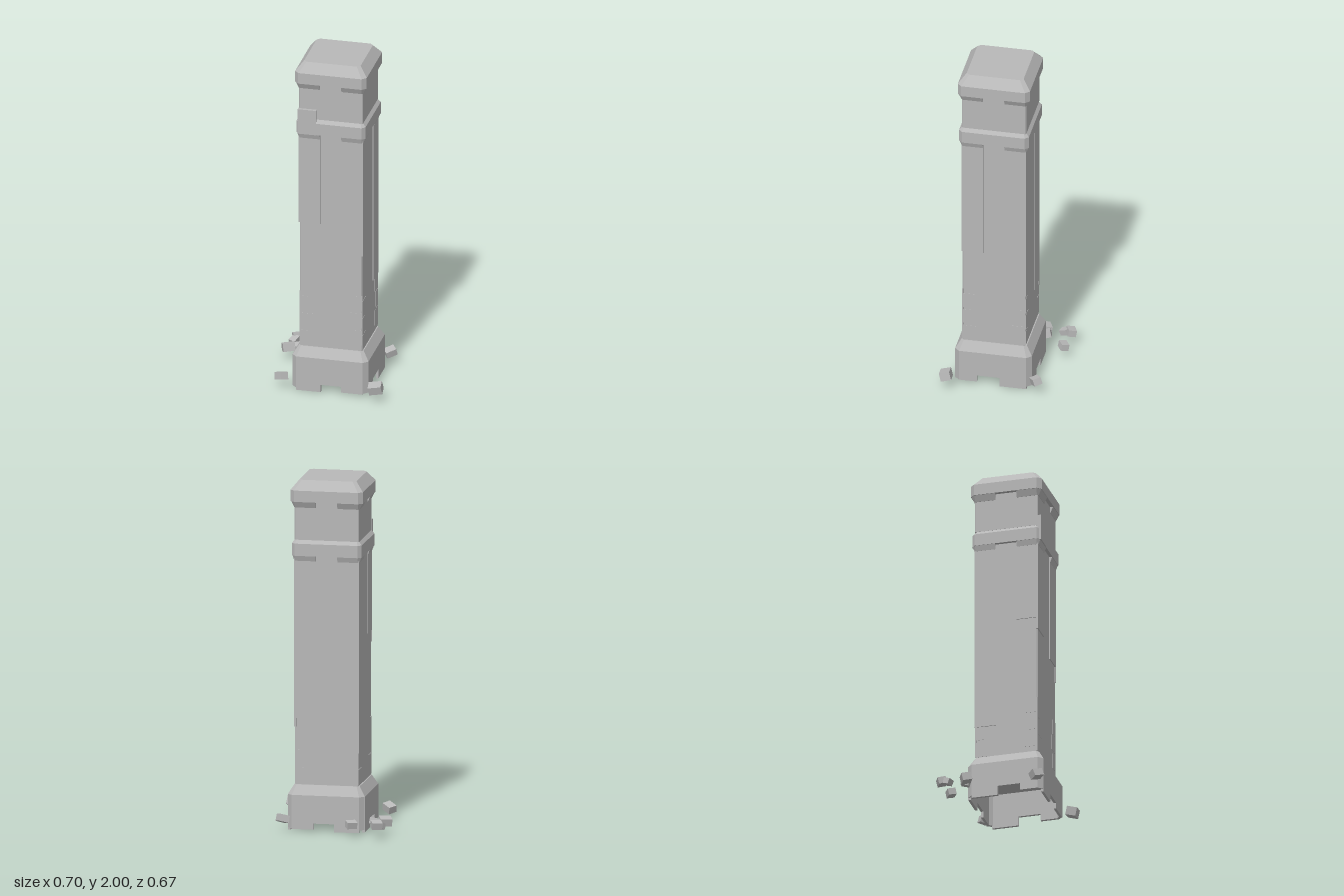
import * as THREE from 'three';

const stone = new THREE.MeshStandardMaterial({ color: 0xb8b8b8, flatShading: true });
stone.name = 'grey stone';

function add(parent, geometry, name, x = 0, y = 0, z = 0) {
  const mesh = new THREE.Mesh(geometry, stone);
  mesh.name = name;
  mesh.position.set(x, y, z);
  parent.add(mesh);
  return mesh;
}

// Closed solid through stacked convex outlines: each layer is [y, [[x, z], ...]]
function loft(layers) {
  const n = layers[0][1].length, pos = [], idx = [];
  for (const [y, pts] of layers) for (const [u, v] of pts) pos.push(u, y, -v);
  for (let k = 0; k < layers.length - 1; k++) {
    for (let i = 0; i < n; i++) {
      const a = k * n + i, b = k * n + (i + 1) % n;
      idx.push(a, b, b + n, a, b + n, a + n);
    }
  }
  const top = (layers.length - 1) * n;
  for (let i = 1; i < n - 1; i++) idx.push(0, i + 1, i, top, top + i, top + i + 1);
  const g = new THREE.BufferGeometry();
  g.setAttribute('position', new THREE.Float32BufferAttribute(pos, 3));
  g.setIndex(idx);
  const flat = g.toNonIndexed();
  flat.computeVertexNormals();
  return flat;
}

// Square outline with cut corners
function cutSquare(h, c) {
  return [[h, -h + c], [h, h - c], [h - c, h], [-h + c, h],
    [-h, h - c], [-h, -h + c], [-h + c, -h], [h - c, -h]];
}
const block = (...rows) => loft(rows.map(([y, h, c]) => [y, cutSquare(h, c)]));

// Corner bracket outline, its inner side buried in the shaft
const cornerOutline = (h, c) => [[0.062, 0.062], [h, 0.062], [h, h - c], [h - c, h], [0.062, h]];

export function createModel() {
  const model = new THREE.Group();
  model.name = 'stonePillar';
  const pillar = new THREE.Group();
  pillar.name = 'pillar';
  pillar.position.set(0.032, 0, 0.04);
  model.add(pillar);

  // Main stacked blocks
  add(pillar, block([0.205, 0.22, 0.027], [0.26, 0.187, 0.015]), 'plinthSlope');
  add(pillar, block([0.25, 0.181, 0.006], [1.89, 0.181, 0.006]), 'shaft');
  add(pillar, block([1.57, 0.2, 0.02], [1.64, 0.2, 0.02], [1.66, 0.184, 0.012]), 'collar');
  add(pillar, block([1.66, 0.185, 0.006], [1.88, 0.185, 0.006]), 'neck');
  add(pillar, block([1.88, 0.207, 0.024], [1.945, 0.207, 0.024], [2.0, 0.163, 0.018]), 'cap');

  // Per side, front first, then right-hand side, back, left-hand side:
  // notch start and end, notch height, foot bottoms, long panel bottoms
  const sides = [
    { notch: [-0.05, 0.067, 0.045], feet: [0, 0.01], panels: [1.02, 0.94] },
    { notch: [-0.09, 0.04, 0.055], feet: [0.015, 0], panels: [0.845, 0.59] },
    { notch: [-0.067, 0.05, 0.045], feet: [0.01, 0], panels: [0.64, 0.485] },
    { notch: [-0.04, 0.09, 0.055], feet: [0, 0.015], panels: [0.45, 1.09] },
  ];
  sides.forEach(({ notch: [n0, n1, nh], feet, panels }, i) => {
    const side = new THREE.Group();
    side.name = 'side' + (i + 1);
    side.rotation.y = i * Math.PI / 2;
    pillar.add(side);

    // Hollow plinth wall with a notch between its feet
    const wall = new THREE.Shape([
      [-0.193, feet[0]], [n0, feet[0]], [n0, nh], [n1, nh], [n1, feet[1]],
      [0.193, feet[1]], [0.193, 0.205], [-0.193, 0.205],
    ].map(p => new THREE.Vector2(...p)));
    add(side, new THREE.ExtrudeGeometry(wall, { depth: 0.015, bevelEnabled: false }),
      'plinthWall', 0, 0, 0.205);
    const corner = add(side, new THREE.BoxGeometry(0.038, 0.19, 0.015), 'plinthCorner',
      0.2012, 0.11, 0.2012);
    corner.rotation.y = Math.PI / 4;

    // Raised long panels beside each shaft corner
    panels.forEach((bottom, k) => {
      const h = 1.57 - bottom;
      add(side, new THREE.BoxGeometry(0.125, h, 0.012), 'longPanel',
        (k ? 1 : -1) * 0.1235, bottom + h / 2, 0.18);
    });

    // Shallow worn corner stones low on the shaft
    for (let k = 0; k < 3; k++) {
      const w = 0.05 + 0.03 * ((k + i) % 2);
      for (const s of [-1, 1]) {
        add(side, new THREE.BoxGeometry(w, 0.09, 0.006), 'cornerStone',
          s * (0.182 - w / 2), 0.31 + k * 0.105 + (s > 0 ? 0.03 : 0), 0.1795);
      }
    }

    // Sloped corner brackets under collar and cap
    add(side, loft([[1.54, cornerOutline(0.187, 0.008)], [1.575, cornerOutline(0.199, 0.019)]]),
      'collarBracket');
    add(side, loft([[1.845, cornerOutline(0.187, 0.008)], [1.885, cornerOutline(0.206, 0.023)]]),
      'capBracket');
  });

  // Repair slab across the front of the collar
  add(pillar, new THREE.BoxGeometry(0.105, 0.15, 0.024), 'frontSlab', -0.1345, 1.645, 0.191);

  // Fallen rubble: x, y, z, size, turn
  const rubble = [
    [-0.285, 0.075, -0.3, 0.052, 0.4], [-0.297, 0.065, -0.263, 0.045, 1.2],
    [-0.137, 0.07, -0.287, 0.05, 0.5], [0.27, 0.075, -0.212, 0.054, 0.6],
    [-0.305, 0.07, -0.152, 0.06, 0.4], [-0.247, 0.07, -0.17, 0.05, 0.2],
    [-0.25, 0.07, 0.243, 0.056, -0.75], [0.308, 0.075, 0.296, 0.066, 0.1],
  ];
  rubble.forEach(([x, y, z, s, turn], i) => {
    const stoneChip = add(model, new THREE.BoxGeometry(s * 1.15, s * 0.75, s * 0.9), 'rubble', x, y, z);
    stoneChip.rotation.set(0.25 * (i % 2 ? 1 : -1), turn, 0.15);
  });

  return model;
}
